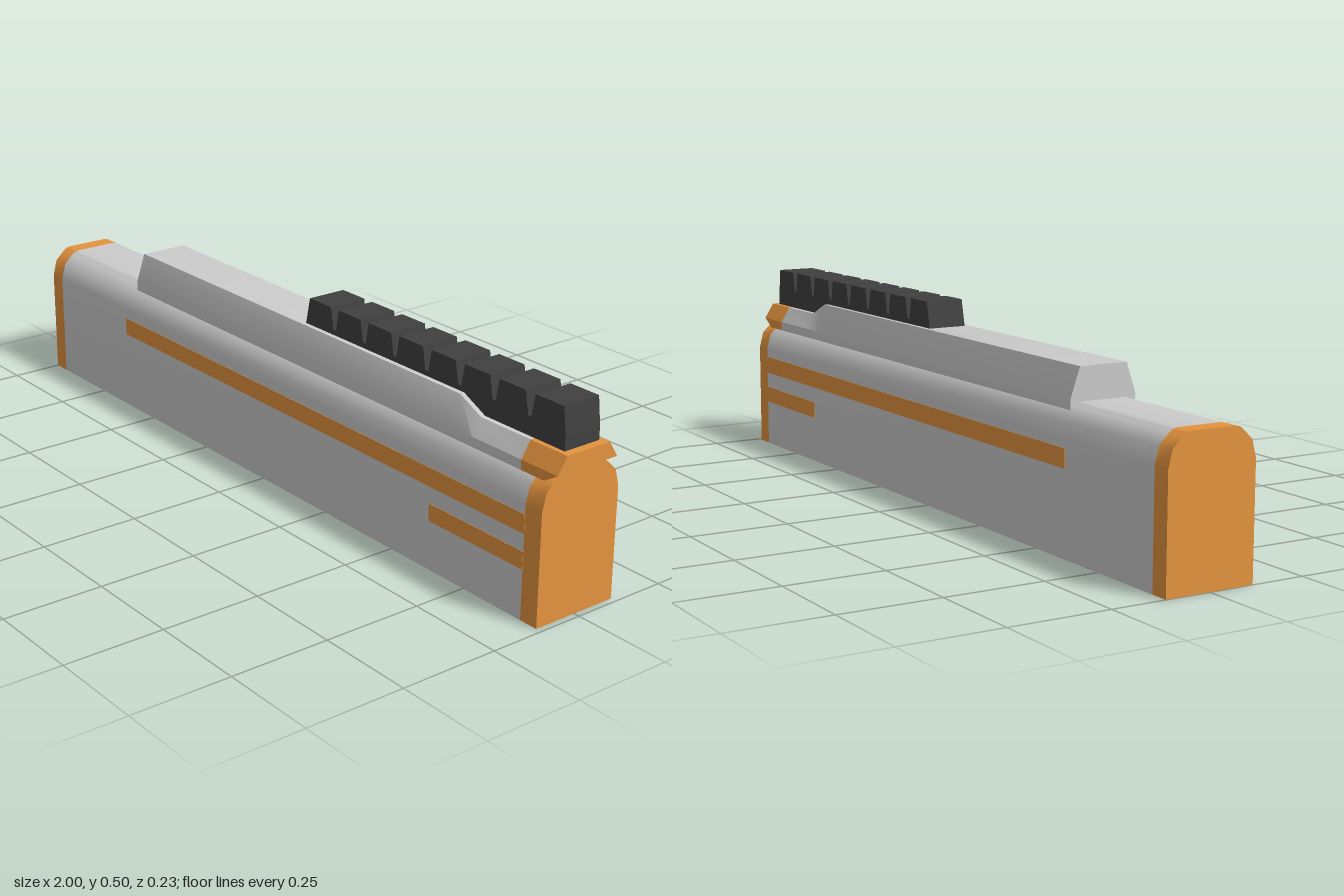
import * as THREE from 'three';
import { toCreasedNormals } from 'three/addons/utils/BufferGeometryUtils.js';

const grey = new THREE.MeshStandardMaterial({ color: 0xcccccc });
const copper = new THREE.MeshStandardMaterial({ color: 0xe5943f });
const dark = new THREE.MeshStandardMaterial({ color: 0x404040 });

export function createModel() {
  const model = new THREE.Group();

  const add = (name, geometry, material) => {
    const mesh = new THREE.Mesh(geometry, material);
    mesh.name = name;
    model.add(mesh);
    return mesh;
  };

  // Body cross-section (z, y), flat-sided with rounded shoulders
  const half = [[0.114, 0], [0.114, 0.275], [0.103, 0.317], [0.078, 0.341], [0.07, 0.347], [0.058, 0.35]];
  const bodyShape = new THREE.Shape([
    ...half.map(([z, y]) => new THREE.Vector2(z, y)),
    ...half.slice().reverse().map(([z, y]) => new THREE.Vector2(-z, y)),
  ]);
  const bodySlice = (x0, x1) => {
    const g = new THREE.ExtrudeGeometry(bodyShape, { depth: x1 - x0, bevelEnabled: false });
    g.rotateY(Math.PI / 2).translate(x0, 0, 0);
    return toCreasedNormals(g, 0.6);
  };
  add('rearBand', bodySlice(-1, -0.953), copper);
  add('body', bodySlice(-0.953, 0.935), grey);
  add('frontBand', bodySlice(0.935, 0.985), copper);

  // Inlaid side stripes, both sides
  const stripe = (name, x0, x1, y0, y1) => {
    for (const side of [1, -1]) {
      const g = new THREE.BoxGeometry(x1 - x0, y1 - y0, 0.004);
      g.translate((x0 + x1) / 2, (y0 + y1) / 2, side * 0.113);
      add(name + (side > 0 ? 'Front' : 'Back'), g, copper);
    }
  };
  stripe('longStripe', -0.62, 0.935, 0.207, 0.253);
  stripe('shortStripe', 0.63, 0.935, 0.122, 0.165);

  // Top rail: six-sided section lofted through stations [x, bottom, top]
  const shoulder = 0.357;
  const loft = (stations) => {
    const rings = stations.map(([x, bottom, top]) => [
      [0.088, bottom], [-0.088, bottom], [-0.088, shoulder],
      [-0.063, top], [0.063, top], [0.088, shoulder],
    ].map(([z, y]) => [x, y, z]));
    const pos = [];
    const tri = (a, b, c) => pos.push(...a, ...b, ...c);
    for (let s = 0; s < rings.length - 1; s++) {
      const a = rings[s], b = rings[s + 1];
      for (let i = 0; i < 6; i++) {
        const j = (i + 1) % 6;
        tri(a[i], a[j], b[j]);
        tri(a[i], b[j], b[i]);
      }
    }
    const first = rings[0], last = rings[rings.length - 1];
    for (let i = 1; i < 5; i++) {
      tri(first[0], first[i + 1], first[i]);
      tri(last[0], last[i], last[i + 1]);
    }
    const g = new THREE.BufferGeometry();
    g.setAttribute('position', new THREE.Float32BufferAttribute(pos, 3));
    g.computeVertexNormals();
    return toCreasedNormals(g, 0.45);
  };
  add('rail', loft([[-0.6, 0.333, 0.43], [0.665, 0.333, 0.43], [0.735, 0.333, 0.397], [0.89, 0.333, 0.397]]), grey);
  add('railTip', loft([[0.89, 0.333, 0.397], [0.96, 0.333, 0.397], [1, shoulder, 0.397]]), copper);

  // Toothed strip following the step in the rail
  const teeth = 8, start = 0.095, pitch = 0.111;
  const strip = new THREE.Shape();
  strip.moveTo(start, 0.43);
  for (let i = 0; i < teeth; i++) {
    const x = start + i * pitch;
    if (i > 0) strip.lineTo(x + 0.005, 0.443);
    strip.lineTo(x + 0.015, 0.497);
    strip.lineTo(x + (i < teeth - 1 ? 0.096 : 0.1), 0.497);
    if (i < teeth - 1) strip.lineTo(x + pitch - 0.005, 0.443);
  }
  strip.lineTo(0.98, 0.43);
  strip.lineTo(0.98, 0.396);
  strip.lineTo(0.735, 0.396);
  strip.lineTo(0.665, 0.429);
  strip.lineTo(start, 0.429);
  const stripGeometry = new THREE.ExtrudeGeometry(strip, { depth: 0.102, bevelEnabled: false });
  stripGeometry.translate(0, 0, -0.051);
  add('toothedStrip', stripGeometry, dark);

  return model;
}
